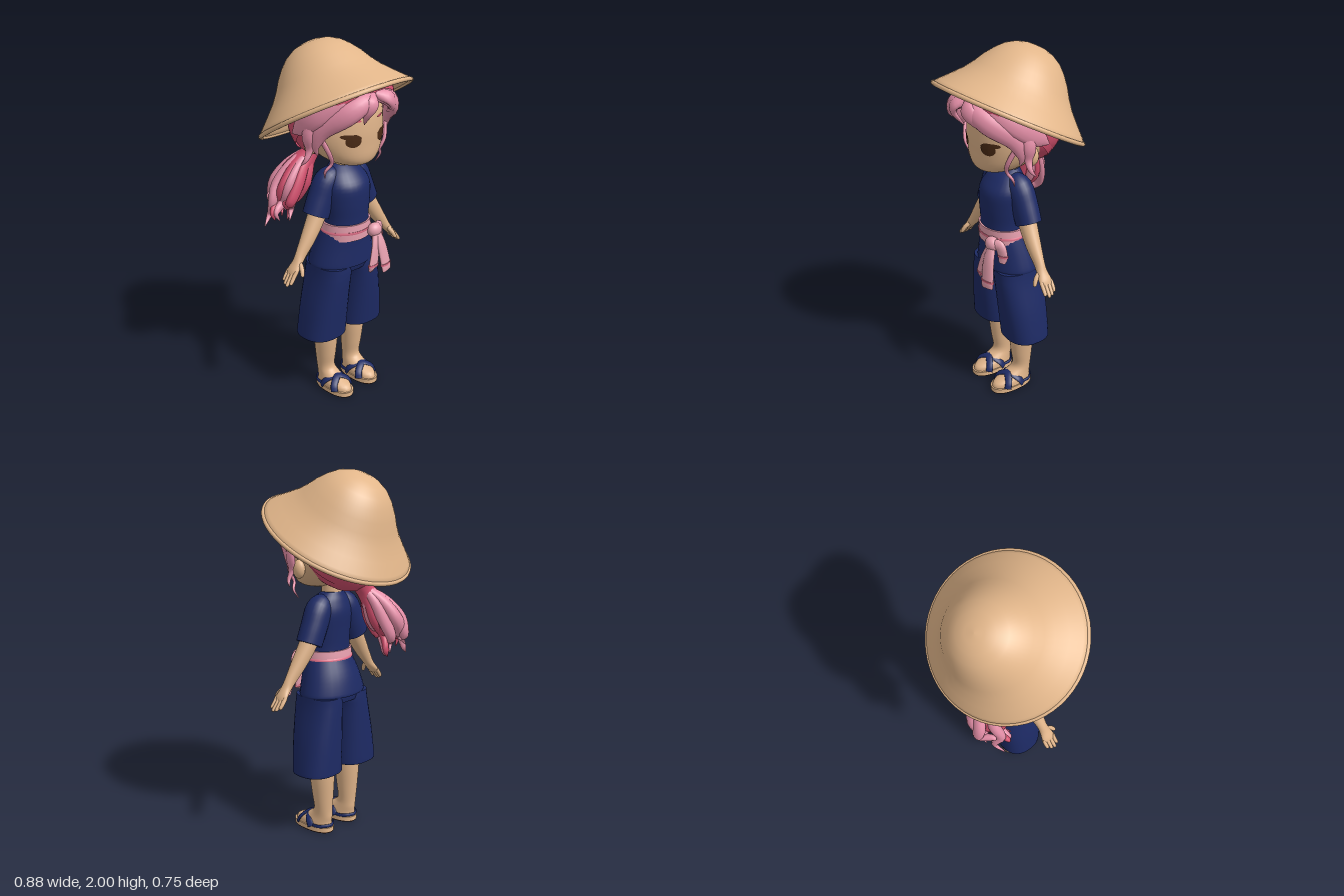
import * as THREE from 'three';

const mat = (name, color, side = THREE.FrontSide) => {
  const m = new THREE.MeshStandardMaterial({ color, side });
  m.name = name;
  return m;
};
const V = (x, y, z) => new THREE.Vector3(x, y, z);

// Sweep elliptical rings along a smooth path of three or more rings [x, y, z, width, depth].
// Without ref the rings stay horizontal; with ref the depth axis points away from ref.
function sweep(rings, { ref = null, seg = 28, pow = 2, steps = 4 } = {}) {
  const path = new THREE.CatmullRomCurve3(rings.map(r => V(r[0], r[1], r[2])), false, 'catmullrom', 0.5);
  const size = new THREE.CatmullRomCurve3(rings.map(r => V(r[3], r[4], 0)), false, 'catmullrom', 0.5);
  const n = (rings.length - 1) * steps, pos = [], index = [];
  const bend = v => Math.sign(v) * Math.abs(v) ** (2 / pow);
  const addRing = (t, k) => {
    const p = path.getPoint(t), r = size.getPoint(t), T = ref ? path.getTangent(t) : V(0, 1, 0), N = V(0, 0, 1);
    if (ref) {
      N.copy(p).sub(ref);
      N.addScaledVector(T, -N.dot(T)).normalize();
    }
    const B = T.clone().cross(N);
    for (let j = 0; j < seg; j++) {
      const a = (j / seg) * Math.PI * 2;
      const q = p.clone().addScaledVector(B, bend(Math.cos(a)) * r.x * k).addScaledVector(N, bend(Math.sin(a)) * r.y * k);
      pos.push(q.x, q.y, q.z);
    }
  };
  addRing(0, 0);
  addRing(0, 1);
  for (let i = 0; i <= n; i++) addRing(i / n, 1);
  addRing(1, 1);
  addRing(1, 0);
  for (let i = 0; i < n + 4; i++) {
    if (i === 1 || i === n + 2) continue; // keeps the end edges sharp
    for (let j = 0; j < seg; j++) {
      const a = i * seg + j, b = i * seg + ((j + 1) % seg), c = a + seg, d = b + seg;
      index.push(a, c, b, b, c, d);
    }
  }
  const g = new THREE.BufferGeometry();
  g.setAttribute('position', new THREE.Float32BufferAttribute(pos, 3));
  g.setIndex(index);
  g.computeVertexNormals();
  return g;
}

export function createModel() {
  const root = new THREE.Group();
  const straw = mat('straw', 0xe2b68a), skin = mat('skin', 0xe0b48a);
  const navy = mat('navy cloth', 0x1d2a64, THREE.DoubleSide);
  const rose = mat('deep pink hair', 0xd3506e, THREE.DoubleSide), pink = mat('light pink hair', 0xe58fa8);
  const sashPink = mat('sash pink', 0xeca3b2), sashRed = mat('sash stripe', 0xdf7088);
  const brown = mat('eye brown', 0x4a2a15), soleBrown = mat('sole brown', 0x3c2014);
  const add = (name, geo, m, parent = root) => {
    const mesh = new THREE.Mesh(geo, m);
    mesh.name = name;
    parent.add(mesh);
    return mesh;
  };
  const cx = 0.01;

  // Hat: bell-shaped shell with a rolled rim, tipped back
  const hat = new THREE.Group();
  hat.name = 'hat';
  hat.position.set(-0.012, 1.645, 0);
  hat.rotation.set(-0.505, 0, 0.03);
  root.add(hat);
  const bell = [[0, .372], [.05, .368], [.1, .354], [.15, .325], [.19, .286], [.23, .235], [.262, .183], [.3, .132], [.35, .079], [.4, .028], [.42, .004]];
  const inner = bell.map(([r, h]) => new THREE.Vector2(Math.max(0, r - 0.01), h - 0.012));
  const outer = bell.map(([r, h]) => new THREE.Vector2(r, h)).reverse();
  add('hatShell', new THREE.LatheGeometry([...inner, ...outer], 56), straw, hat);
  add('hatRim', new THREE.TorusGeometry(0.415, 0.012, 10, 56).rotateX(Math.PI / 2), straw, hat);

  // Head, ears and neck
  const head = add('head', sweep([
    [cx, 1.375, .12, .03, .03], [cx, 1.392, .11, .1, .09], [cx, 1.43, .075, .165, .145], [cx, 1.5, .03, .215, .195],
    [cx, 1.58, .005, .232, .222], [cx, 1.68, -.005, .23, .22], [cx, 1.78, -.01, .19, .18], [cx, 1.84, -.01, .09, .09]], { seg: 40 }), skin);
  add('neck', new THREE.CylinderGeometry(.055, .06, .15, 24).translate(cx, 1.36, .02), skin);

  // Thin face details laid onto the head surface
  const ray = new THREE.Raycaster();
  const onFace = (name, x, y, w, h, m, tilt = 0) => {
    const g = new THREE.RingGeometry(0.001, 1, 24, 4).scale(w, h, 1).rotateZ(tilt).translate(x, y, 0);
    const p = g.attributes.position;
    for (let i = 0; i < p.count; i++) {
      ray.set(V(p.getX(i), p.getY(i), 1), V(0, 0, -1));
      p.setZ(i, (ray.intersectObject(head)[0]?.point.z ?? 0.2) + 0.005);
    }
    g.computeVertexNormals();
    add(name, g, m);
  };
  for (const s of [-1, 1]) {
    onFace('eye', cx + s * .097, 1.535, .04, .034, brown);
    onFace('eyelash', cx + s * .108, 1.555, .052, .014, brown, s * .15);
    onFace('eyebrow', cx + s * .085, 1.637, .03, .006, rose, s * .1);
    add('ear', new THREE.SphereGeometry(1, 16, 12).scale(.03, .05, .036).translate(cx + s * .235, 1.505, .035), skin);
  }

  // Hair: swept-back cap, back of the head down to the nape
  const hc = V(0, 1.6, -.01);
  const cap = add('hairCap', new THREE.SphereGeometry(1, 40, 24, 0, Math.PI * 2, 0, 1.68), rose);
  cap.position.copy(hc);
  cap.rotation.x = -0.82;
  cap.scale.set(.26, .25, .25);
  add('hairBack', sweep([[0, 1.385, -.1, .07, .07], [0, 1.43, -.085, .15, .135], [cx, 1.52, -.065, .222, .185],
    [cx, 1.6, -.06, .247, .2], [cx, 1.68, -.06, .25, .19]], { seg: 40 }), rose);

  // Parted fringe, side sweeps and loose wisps
  const lock = (name, rings, m, ref = hc) => add(name, sweep(rings, { ref, seg: 14 }), m);
  lock('fringeCrown', [[-.23, 1.72, .1, .05, .03], [-.15, 1.77, .2, .05, .035], [0, 1.795, .235, .04, .03],
    [.15, 1.77, .2, .05, .035], [.23, 1.72, .1, .05, .03]], rose);
  for (const s of [-1, 1]) {
    const side = rings => rings.map(([x, y, z, w, d]) => [s * x, y, z, w, d]);
    lock('fringe', side([[.0, 1.765, .25, .025, .02], [.08, 1.745, .275, .045, .03], [.165, 1.69, .235, .055, .032],
      [.23, 1.61, .14, .045, .025], [.25, 1.53, .1, .028, .015], [.235, 1.47, .1, .004, .004]]), pink);
    lock('sideSweep', side([[.06, 1.78, .24, .03, .02], [.16, 1.755, .2, .055, .03], [.24, 1.68, .11, .065, .03],
      [.268, 1.61, .02, .05, .022], [.262, 1.56, -.05, .008, .008]]), pink);
    lock('sideLock', side([[.245, 1.66, .08, .03, .02], [.27, 1.57, .07, .035, .02], [.262, 1.5, .07, .022, .014],
      [.285, 1.45, .07, .012, .01], [.3, 1.42, .05, .003, .003]]), pink);
    lock('wisp', side([[.235, 1.57, .12, .014, .01], [.2, 1.48, .15, .013, .01], [.175, 1.42, .14, .01, .008],
      [.2, 1.38, .12, .008, .007], [.185, 1.335, .1, .002, .002]]), pink);
  }
  lock('forelock', [[-.01, 1.77, .255, .02, .02], [-.05, 1.745, .3, .035, .02], [-.07, 1.69, .29, .028, .015], [-.05, 1.625, .245, .003, .003]], pink);
  lock('forelock', [[.01, 1.77, .255, .02, .02], [.07, 1.75, .3, .04, .02], [.13, 1.69, .265, .03, .015], [.16, 1.64, .2, .003, .003]], pink);

  // Ponytail: wavy strands fanned around a common path
  const tailRef = V(-.12, 1.2, .1);
  lock('ponytailRoot', [[0, 1.5, -.16, .1, .07], [-.02, 1.42, -.16, .055, .05], [-.06, 1.36, -.17, .055, .05],
    [-.12, 1.27, -.2, .085, .08], [-.18, 1.17, -.215, .075, .07], [-.22, 1.08, -.22, .015, .015]], rose, tailRef);
  for (let i = 0; i < 10; i++) {
    const a = i * 2.4, c = Math.cos(a), d = Math.sin(a), end = 1.0 + (i % 4) * .035, wave = i % 2 ? .018 : -.018;
    lock('ponytailStrand', [[-.03, 1.4, -.165, .02, .02], [-.1 + c * .05, 1.32, -.195 + d * .055, .032, .028],
      [-.155 + c * .075, 1.22, -.215 + d * .09, .038, .03], [-.195 + c * .06 + wave, 1.13, -.225 + d * .075 - wave, .03, .024],
      [-.215 + c * .07 - wave, end + .05, -.23 + d * .05 + wave, .018, .015], [-.23 + c * .075 + wave, end, -.22 + d * .07, .003, .003]],
    i % 3 === 0 ? rose : pink, tailRef);
  }

  // Shirt with flared hem
  add('shirt', sweep([[cx, 1, .055, .135, .115], [cx, 1.07, .055, .13, .115], [cx, 1.16, .055, .137, .12], [cx, 1.25, .05, .14, .12],
    [cx, 1.31, .035, .115, .092], [cx, 1.345, .022, .082, .066], [cx, 1.362, .012, .062, .05]]), navy);
  add('shirtHem', sweep([[cx, .8, .02, .203, .15], [cx, .82, .02, .203, .15], [cx, .91, .03, .175, .138], [cx, 1.02, .055, .136, .116]]), navy);

  // Sash: band, stripe, knot and hanging tails
  const band = (name, y0, y1, w, m) => add(name, sweep([[cx, y0, .052, .147 + w, .126 + w], [cx, (y0 + y1) / 2, .053, .146 + w, .126 + w], [cx, y1, .055, .142 + w, .123 + w]]), m);
  band('sash', .955, 1.045, 0, sashPink);
  band('sashStripe', .993, 1.007, .003, sashRed);
  add('sashKnot', new THREE.SphereGeometry(1, 20, 14).scale(.045, .04, .035).translate(.1, .985, .185), sashPink);
  const tails = [
    [[.1, .98, .19, .02, .02], [.08, .9, .215, .03, .014], [.055, .8, .225, .036, .012], [.055, .785, .225, .034, .01]],
    [[.11, .98, .19, .02, .02], [.12, .9, .22, .036, .016], [.135, .79, .24, .042, .014], [.14, .75, .245, .04, .01]],
    [[.11, .99, .19, .02, .018], [.15, .99, .17, .03, .018], [.165, .93, .16, .03, .014], [.165, .89, .165, .02, .01]]];
  const bodyRef = V(.05, .9, -.1);
  for (const t of tails) {
    lock('sashTail', t, sashPink, bodyRef);
    const [x, y, z, w, d] = t[2];
    lock('tailStripe', [-.006, 0, .006].map(h => [x, y + h, z, w + .003, d + .003]), sashRed, bodyRef);
  }

  // Hips of the trousers
  add('trouserHips', sweep([[cx, .765, .02, .185, .13], [cx, .8, .022, .19, .138], [cx, .86, .025, .18, .135]]), navy);

  // Mirrored limbs
  for (const s of [-1, 1]) {
    const limb = new THREE.Group();
    limb.name = s > 0 ? 'leftLimbs' : 'rightLimbs';
    limb.position.x = cx;
    root.add(limb);
    const m = rings => rings.map(([x, y, z, w, d]) => [s * x, y, z, w, d]);
    const part = (name, rings, mt, opt) => add(name, sweep(m(rings), opt), mt, limb);

    // Wide trouser leg with a turned-in hem
    part('trouserLeg', [[.13, .54, .01, .108, .112], [.137, .4, .003, .121, .113], [.138, .376, .003, .13, .122], [.138, .39, .003, .134, .125],
      [.126, .55, .012, .121, .133], [.109, .7, .02, .105, .138], [.1, .76, .022, .103, .138], [.1, .8, .022, .098, .136]], navy, { pow: 2.4 });

    // Bare leg running into the foot
    part('leg', [[.098, .024, .068, .064, .126], [.098, .055, .062, .062, .116], [.098, .088, .024, .053, .082], [.1, .13, -.004, .049, .054],
      [.102, .22, -.003, .057, .062], [.104, .34, 0, .066, .072], [.106, .5, 0, .068, .072]], skin);

    // Sandal: layered sole, crossed straps and heel strap
    const layer = (name, y0, y1, w, mt) => part(name, [y0, (y0 + y1) / 2, y1].map(y => [.098, y, .068, .069 + w, .132 + w]), mt, { pow: 2.3, steps: 1 });
    layer('soleBottom', 0, .006, -.002, soleBrown);
    layer('sole', .006, .03, 0, straw);
    for (const k of [-1, 1]) part('sandalStrap', [[.098 - k * .066, .03, .135, .02, .007], [.098 - k * .053, .064, .12, .02, .007],
      [.098, .093, .092, .02, .007], [.098 + k * .057, .07, .055, .02, .007], [.098 + k * .068, .03, .03, .02, .007]], navy, { ref: V(s * .098, .02, .07), seg: 12 });
    part('heelStrap', [[.036, .037, .03, .01, .006], [.044, .04, -.025, .01, .006], [.098, .042, -.06, .01, .006],
      [.152, .04, -.025, .01, .006], [.16, .037, .03, .01, .006]], navy, { ref: V(s * .098, .039, .03), seg: 10 });

    // Sleeve, arm and hand
    const armRef = V(0, .9, .03);
    part('sleeve', [[.045, 1.305, .03, .045, .05], [.1, 1.275, .02, .07, .075], [.145, 1.19, .015, .07, .076], [.185, 1.1, .015, .067, .076]], navy, { ref: armRef });
    part('arm', [[.14, 1.2, .018, .045, .05], [.185, 1.1, .022, .048, .05], [.25, 1.0, .03, .04, .043], [.31, .92, .035, .028, .032],
      [.34, .88, .038, .03, .024], [.37, .845, .038, .038, .018], [.385, .825, .038, .034, .012]], skin, { ref: armRef });
    for (let i = 0; i < 4; i++) {
      const z = .068 - i * .02, tip = [.004, .014, .01, 0][i];
      part('finger', [[.372, .845, z, .011, .011], [.395, .815, z, .011, .011], [.41 + tip, .795 - tip, z + .002, .009, .009],
        [.414 + tip, .79 - tip, z + .002, .004, .004]], skin, { ref: armRef, seg: 10 });
    }
    part('thumb', [[.335, .885, .05, .014, .014], [.345, .858, .08, .013, .013], [.355, .83, .095, .01, .01], [.358, .822, .097, .004, .004]], skin, { ref: armRef, seg: 10 });
  }
  return root;
}
